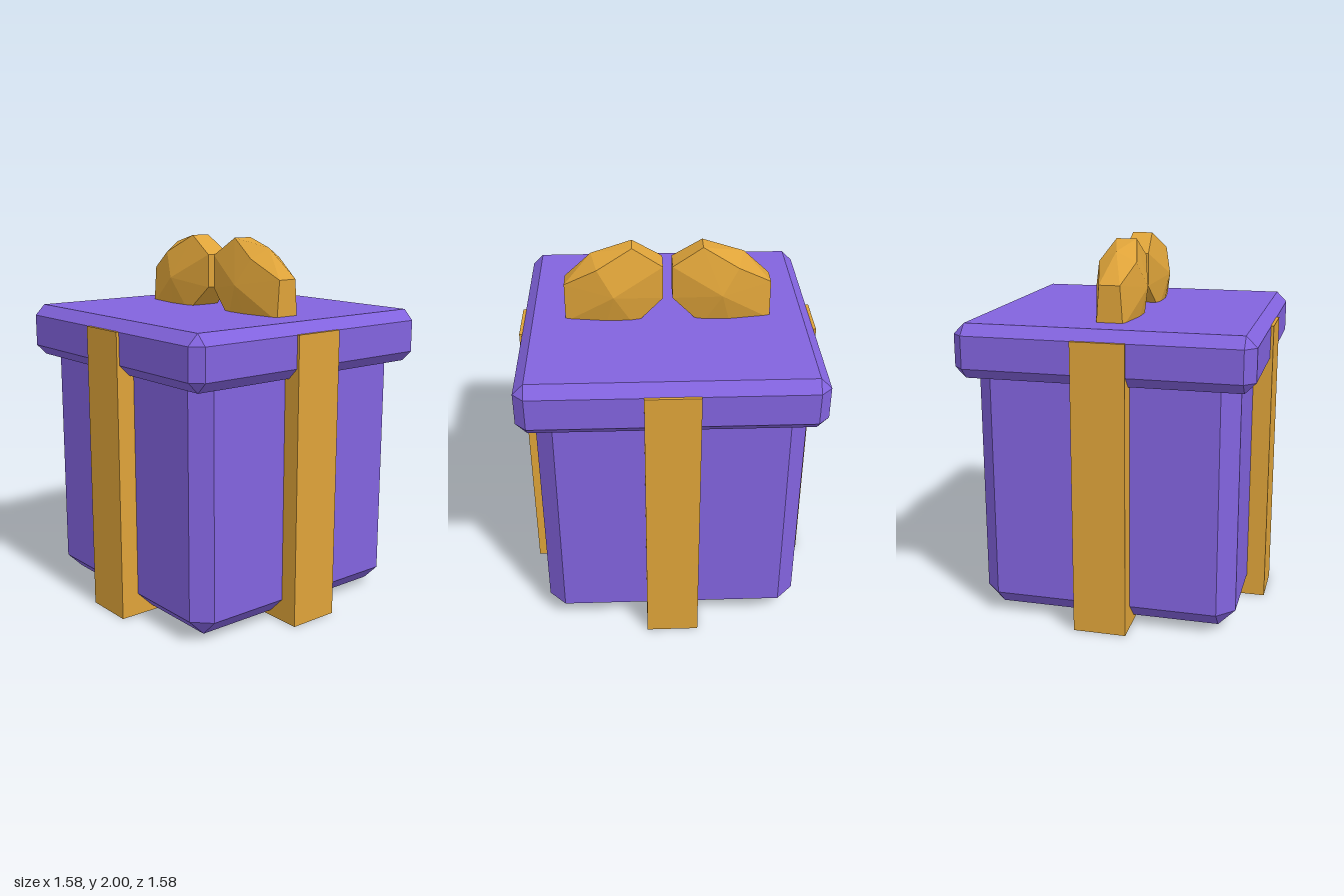
import * as THREE from 'three';
import { ConvexGeometry } from 'three/addons/geometries/ConvexGeometry.js';

const purple = new THREE.MeshStandardMaterial({ color: 0x8263de });
purple.name = 'purple paper';
const gold = new THREE.MeshStandardMaterial({ color: 0xdea339 });
gold.name = 'gold ribbon';

function add(group, name, geometry, material) {
  const mesh = new THREE.Mesh(geometry, material);
  mesh.name = name;
  group.add(mesh);
  return mesh;
}

// Square box with every edge cut at 45 degrees
function chamferedBox(half, bottom, top, cut) {
  const h = (top - bottom) / 2;
  const mid = (top + bottom) / 2;
  const points = [];
  for (const x of [-1, 1]) for (const y of [-1, 1]) for (const z of [-1, 1]) {
    for (let axis = 0; axis < 3; axis++) {
      const inset = [cut, cut, cut];
      inset[axis] = 0;
      points.push(new THREE.Vector3(
        x * (half - inset[0]), mid + y * (h - inset[1]), z * (half - inset[2])));
    }
  }
  return new ConvexGeometry(points);
}

// Faceted bow loop; each corner [x, y, z] is mirrored front to back
const loopCorners = [
  [0.025, 1.90, 0.07], [0.025, 1.72, 0.07], [0.185, 2.00, 0.055],
  [0.40, 1.955, 0], [0.37, 1.90, 0.10], [0.545, 1.80, 0.055],
  [0.545, 1.59, 0.07], [0.285, 1.76, 0.14], [0.18, 1.575, 0.095],
  [0.35, 1.50, 0.08], [0.17, 1.58, 0],
];
function bowLoop(side) {
  const points = [];
  for (const [x, y, z] of loopCorners) {
    points.push(new THREE.Vector3(side * x, y, z));
    if (z > 0) points.push(new THREE.Vector3(side * x, y, -z));
  }
  return new ConvexGeometry(points);
}

export function createModel() {
  const gift = new THREE.Group();
  gift.name = 'giftBox';

  // Box and overhanging lid
  add(gift, 'boxBody', chamferedBox(0.69, 0.03, 1.5, 0.09), purple);
  add(gift, 'lid', chamferedBox(0.775, 1.325, 1.61, 0.057), purple);

  // Crossed ribbon bands
  const bandHeight = 1.555;
  add(gift, 'ribbonAcross', new THREE.BoxGeometry(1.58, bandHeight, 0.28), gold).position.y = bandHeight / 2;
  add(gift, 'ribbonFrontToBack', new THREE.BoxGeometry(0.28, bandHeight, 1.58), gold).position.y = bandHeight / 2;

  // Bow
  add(gift, 'bowLoopLeft', bowLoop(1), gold);
  add(gift, 'bowLoopRight', bowLoop(-1), gold);

  return gift;
}
